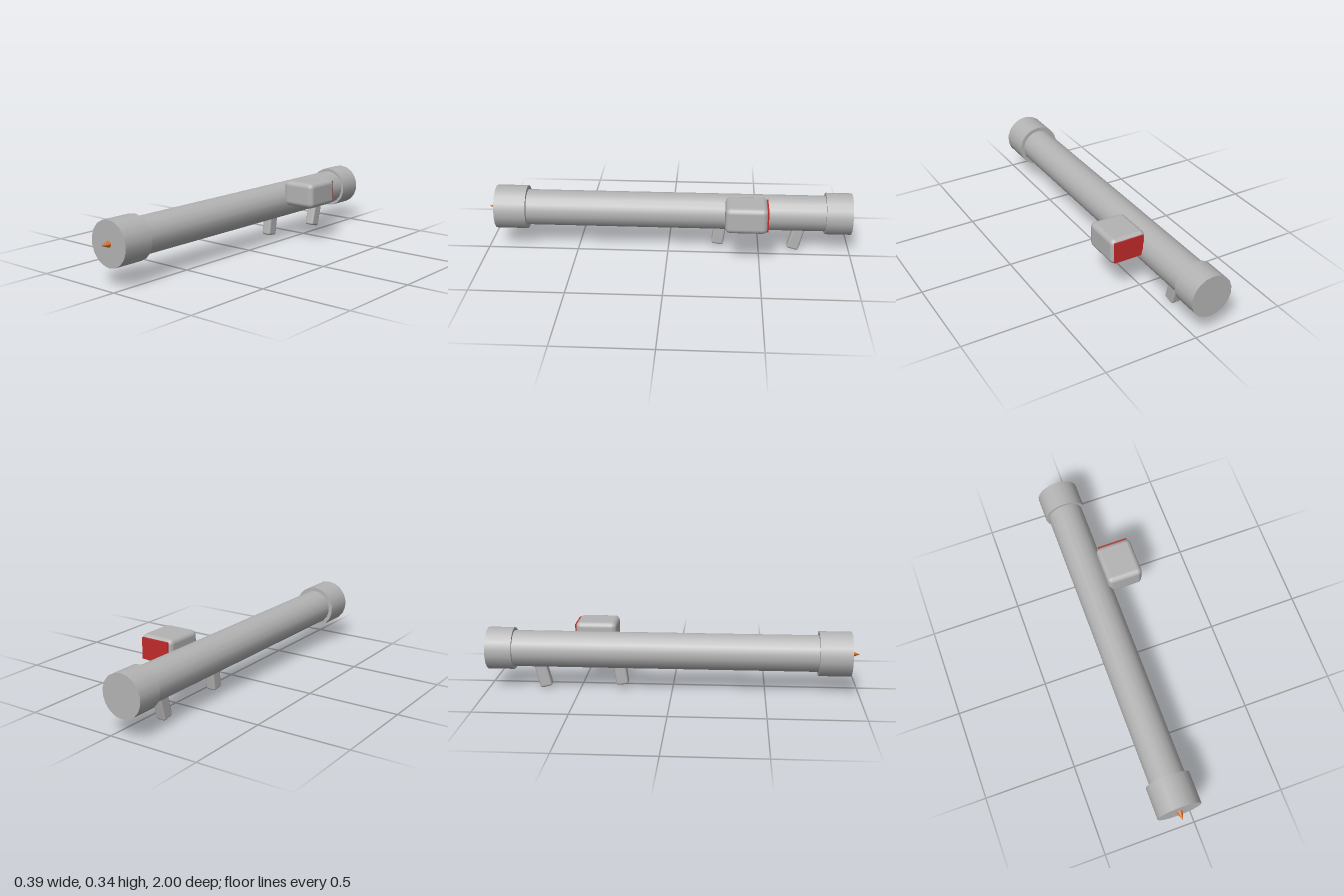
import * as THREE from 'three';
import { RoundedBoxGeometry } from 'three/addons/geometries/RoundedBoxGeometry.js';

export function createModel() {
  const model = new THREE.Group();
  model.name = 'shoulderLauncher';
  const grey = new THREE.MeshStandardMaterial({ name: 'grey', color: 0xb4b4b4 });
  const red = new THREE.MeshStandardMaterial({ name: 'red', color: 0xc22a2a });
  const orange = new THREE.MeshStandardMaterial({ name: 'orange', color: 0xd2691e });
  const AX = -0.076, AY = 0.217; // tube axis

  function add(name, geometry, material, x, y, z) {
    const mesh = new THREE.Mesh(geometry, material);
    mesh.name = name;
    mesh.position.set(x, y, z);
    model.add(mesh);
    return mesh;
  }

  // Round part along z, from back to front, centred on the tube axis
  function barrel(name, rFront, rBack, back, front, sides, material) {
    const g = new THREE.CylinderGeometry(rFront, rBack, front - back, sides);
    g.rotateX(Math.PI / 2);
    add(name, g, material, AX, AY, (back + front) / 2);
  }

  // Main tube, end collars and pointed tip
  barrel('tube', 0.098, 0.098, -0.87, 0.8, 18, grey);
  barrel('frontCollar', 0.12, 0.12, 0.78, 0.953, 18, grey);
  barrel('rearCollar', 0.114, 0.114, -1, -0.857, 18, grey);
  barrel('tip', 0, 0.018, 0.95, 1, 16, orange);

  // Sight housing on the left side, with a red rear screen
  add('sightHousing', new RoundedBoxGeometry(0.198, 0.142, 0.225, 2, 0.028), grey, 0.094, 0.274, -0.424);
  add('sightScreen', new THREE.BoxGeometry(0.165, 0.115, 0.008), red, 0.096, 0.274, -0.536);

  // Two tilted grips, placed by the centre of their lower ends
  function grip(name, y, z, tilt) {
    const g = new RoundedBoxGeometry(0.056, 0.14, 0.066, 2, 0.012);
    g.translate(0, 0.07, 0);
    add(name, g, grey, AX, y, z).rotation.x = -tilt;
  }
  grip('frontGrip', 0.0265, -0.27, 0.14);
  grip('rearGrip', 0.006, -0.688, 0.25);

  return model;
}
